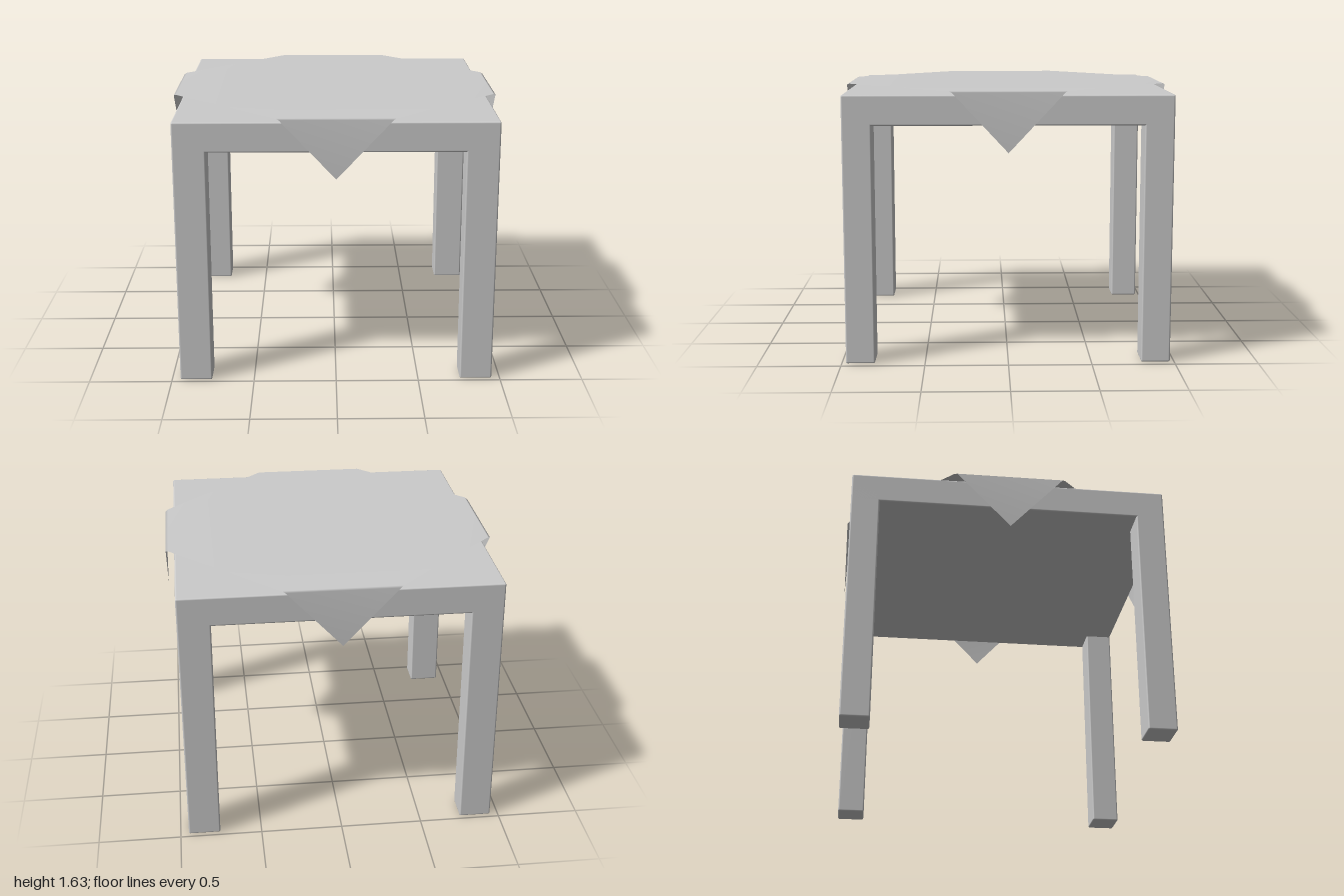
import * as THREE from 'three';
import { RoundedBoxGeometry } from 'three/addons/geometries/RoundedBoxGeometry.js';
import { mergeVertices } from 'three/addons/utils/BufferGeometryUtils.js';

const WIDTH = 1.9, DEPTH = 1.95, HEIGHT = 1.61;
const SLAB = 0.18, LEG_X = 0.195, LEG_Z = 0.175, BEVEL = 0.01;

// Square cloth turned by 45 degrees: four wedges, each folded over one table edge.
function clothGeometry() {
  // half width, height, distance from the centre
  const rows = [
    [0, 1.635, 0],
    [0.665, 1.635, 0.665],
    [0.347, 1.635, 0.985],
    [0.33, 1.628, 1],
    [0, 1.275, 1],
  ];
  const points = [];
  for (let side = 0; side < 4; side++) {
    const corner = ([, y, z], x) =>
      new THREE.Vector3(x, y, z).applyAxisAngle(THREE.Object3D.DEFAULT_UP, side * Math.PI / 2);
    for (let i = 0; i < rows.length - 1; i++) {
      const [a, b] = [rows[i], rows[i + 1]];
      const al = corner(a, -a[0]), ar = corner(a, a[0]);
      const bl = corner(b, -b[0]), br = corner(b, b[0]);
      if (b[0] > 0) points.push(al, bl, br);
      if (a[0] > 0) points.push(al, br, ar);
    }
  }
  const geometry = mergeVertices(new THREE.BufferGeometry().setFromPoints(points), 1e-4);
  geometry.computeVertexNormals();
  return geometry;
}

export function createModel() {
  const group = new THREE.Group();
  const material = new THREE.MeshStandardMaterial({ color: 0xcccccc });
  const clothMaterial = new THREE.MeshStandardMaterial({ color: 0xcccccc, side: THREE.DoubleSide });

  const add = (name, geometry, mat, x = 0, y = 0, z = 0) => {
    const mesh = new THREE.Mesh(geometry, mat);
    mesh.name = name;
    mesh.position.set(x, y, z);
    group.add(mesh);
  };

  // Table top
  add('tableTop', new RoundedBoxGeometry(WIDTH, SLAB, DEPTH, 2, BEVEL), material, 0, HEIGHT - SLAB / 2, 0);

  // Legs, flush with the corners of the top
  const leg = new RoundedBoxGeometry(LEG_X, HEIGHT, LEG_Z, 2, BEVEL);
  for (const [xName, sx] of [['Left', 1], ['Right', -1]]) {
    for (const [zName, sz] of [['front', 1], ['back', -1]]) {
      add(`${zName}${xName}Leg`, leg, material,
        sx * (WIDTH - LEG_X) / 2, HEIGHT / 2, sz * (DEPTH - LEG_Z) / 2);
    }
  }

  // Draped cloth
  add('tablecloth', clothGeometry(), clothMaterial);

  return group;
}
